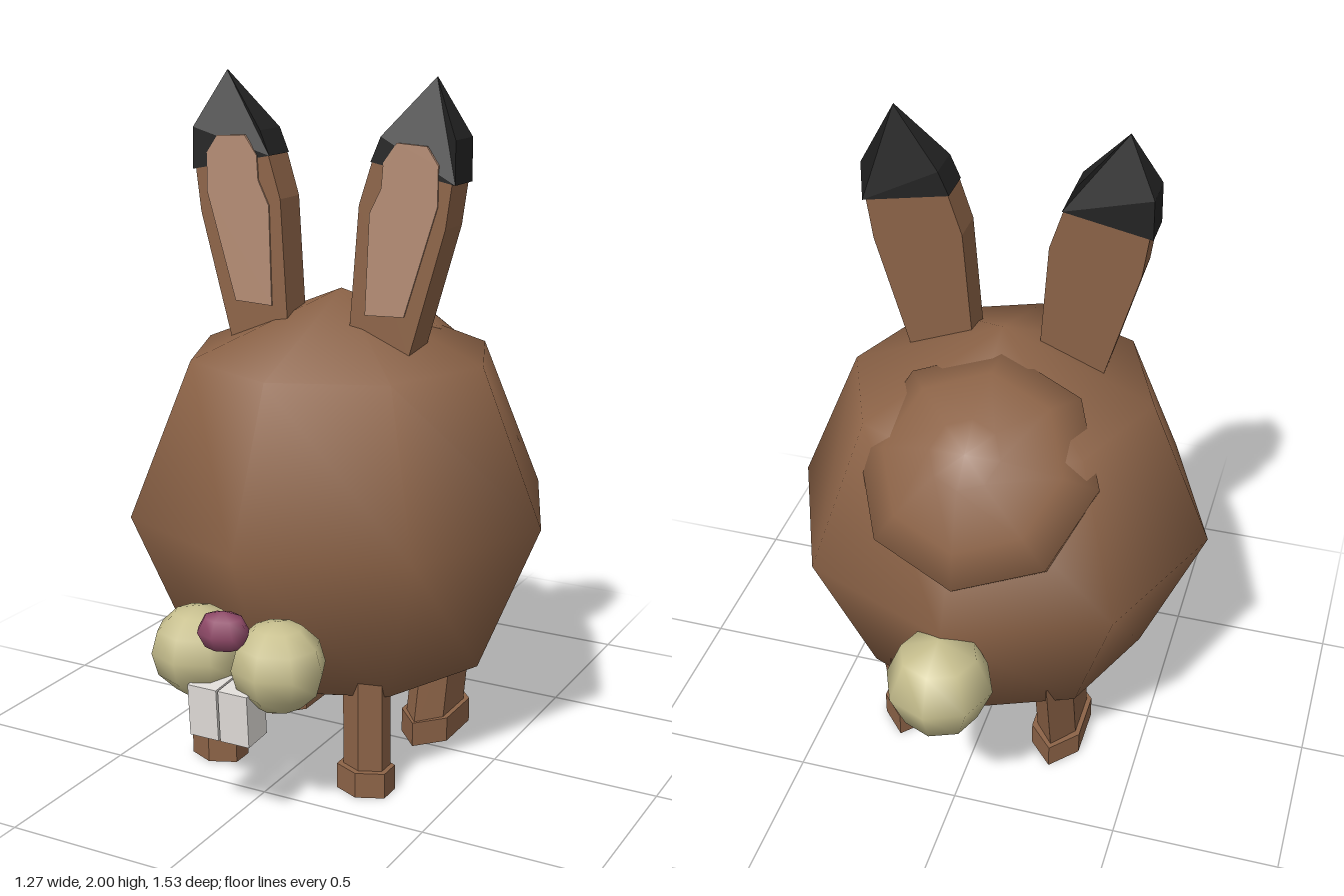
import * as THREE from 'three';

const mat = (name, color) => {
  const m = new THREE.MeshStandardMaterial({ color });
  m.name = name;
  return m;
};

export function createModel() {
  const root = new THREE.Group();
  root.name = 'rabbit';
  const brown = mat('brown fur', 0x8c6347);
  const inner = mat('inner ear', 0xb38b73);
  const black = mat('black tip', 0x232323);
  const cream = mat('cream fur', 0xc8c08f);
  const pink = mat('nose pink', 0x8f4a68);
  const white = mat('tooth white', 0xe2deda);

  const add = (name, geometry, material, x = 0, y = 0, z = 0) => {
    const mesh = new THREE.Mesh(geometry, material);
    mesh.name = name;
    mesh.position.set(x, y, z);
    root.add(mesh);
    return mesh;
  };
  // Low-poly ball with smooth normals
  const ball = (rx, ry, rz, h = 4) => new THREE.SphereGeometry(1, 8, h).scale(rx, ry, rz);

  // Body and tail
  add('body', ball(0.637, 0.637, 0.63), brown, 0, 0.75, 0.03);
  add('tail', ball(0.157, 0.157, 0.155), cream, 0, 0.595, -0.615);

  // Raised hump on the upper back
  const profile = [[0.33, 0.38], [0.35, 0.49], [0.26, 0.57], [0.1, 0.665], [0, 0.67]];
  const hump = add('backHump',
    new THREE.LatheGeometry(profile.map(([r, y]) => new THREE.Vector2(r, y)), 8),
    brown, -0.02, 0.75, 0.03);
  hump.rotation.x = -0.72;

  // Nose
  add('nose', ball(0.078, 0.058, 0.062), pink, 0, 0.565, 0.703);

  // Ear slab: extruded outline leaning forward at the base, narrowing to the tip
  const earSlab = (points, s, half, offset = 0) => {
    const shape = new THREE.Shape(points.map(([x, y]) => new THREE.Vector2(x * s, y)));
    const g = new THREE.ExtrudeGeometry(shape, { depth: 2 * half, bevelEnabled: false });
    const p = g.attributes.position;
    for (let i = 0; i < p.count; i++) {
      const y = p.getY(i);
      const taper = y > 1.95 ? 0.05 : 1;
      p.setZ(i, 0.103 + (1.85 - y) * 0.024 + offset + (p.getZ(i) - half) * taper);
    }
    g.computeVertexNormals();
    return g;
  };
  const earBase = [[0.285, 1.235], [0.388, 1.6], [0.405, 1.725], [0.165, 1.775], [0.125, 1.65], [0.1, 1.3]];
  const earTip = [[0.415, 1.72], [0.413, 1.84], [0.33, 2], [0.19, 1.84], [0.16, 1.77]];
  const earInside = [[0.27, 1.35], [0.365, 1.66], [0.365, 1.77], [0.33, 1.82], [0.24, 1.825],
    [0.2, 1.77], [0.195, 1.7], [0.16, 1.63], [0.15, 1.345]];

  // Six-sided leg, sheared along z, on a wider foot
  const leg = (name, x, z, rx, rz, height, shear) => {
    const g = new THREE.CylinderGeometry(1, 1, height, 6).toNonIndexed();
    g.scale(rx, 1, rz).translate(0, height / 2, 0);
    const p = g.attributes.position;
    for (let i = 0; i < p.count; i++) p.setZ(i, p.getZ(i) + p.getY(i) * shear);
    g.computeVertexNormals();
    add(name, g, brown, x, 0.03, z);
  };
  const foot = (name, x, z, rx, rz) => {
    const g = new THREE.CylinderGeometry(1, 1, 0.075, 6).toNonIndexed().scale(rx, 1, rz);
    g.computeVertexNormals();
    add(name, g, brown, x, 0.0375, z);
  };

  for (const [side, s] of [['left', 1], ['right', -1]]) {
    // Muzzle
    add(side + 'Cheek', ball(0.135, 0.128, 0.128, 6), cream, s * 0.127, 0.463, 0.63);
    const tooth = add(side + 'Tooth', new THREE.BoxGeometry(0.09, 0.15, 0.095), white, s * 0.048, 0.335, 0.69);
    tooth.rotation.x = 0.06;

    // Ears
    add(side + 'Ear', earSlab(earBase, s, 0.054), brown);
    add(side + 'EarTip', earSlab(earTip, s, 0.056), black);
    add(side + 'InnerEar', earSlab(earInside, s, 0.004, 0.055), inner);

    // Legs
    leg(side + 'FrontLeg', s * 0.245, 0.335, 0.071, 0.055, 0.36, 0.01);
    foot(side + 'FrontFoot', s * 0.245, 0.342, 0.088, 0.067);
    leg(side + 'HindLeg', s * 0.245, -0.115, 0.071, 0.15, 0.34, -0.24);
    foot(side + 'HindFoot', s * 0.245, -0.13, 0.088, 0.166);
  }
  return root;
}
